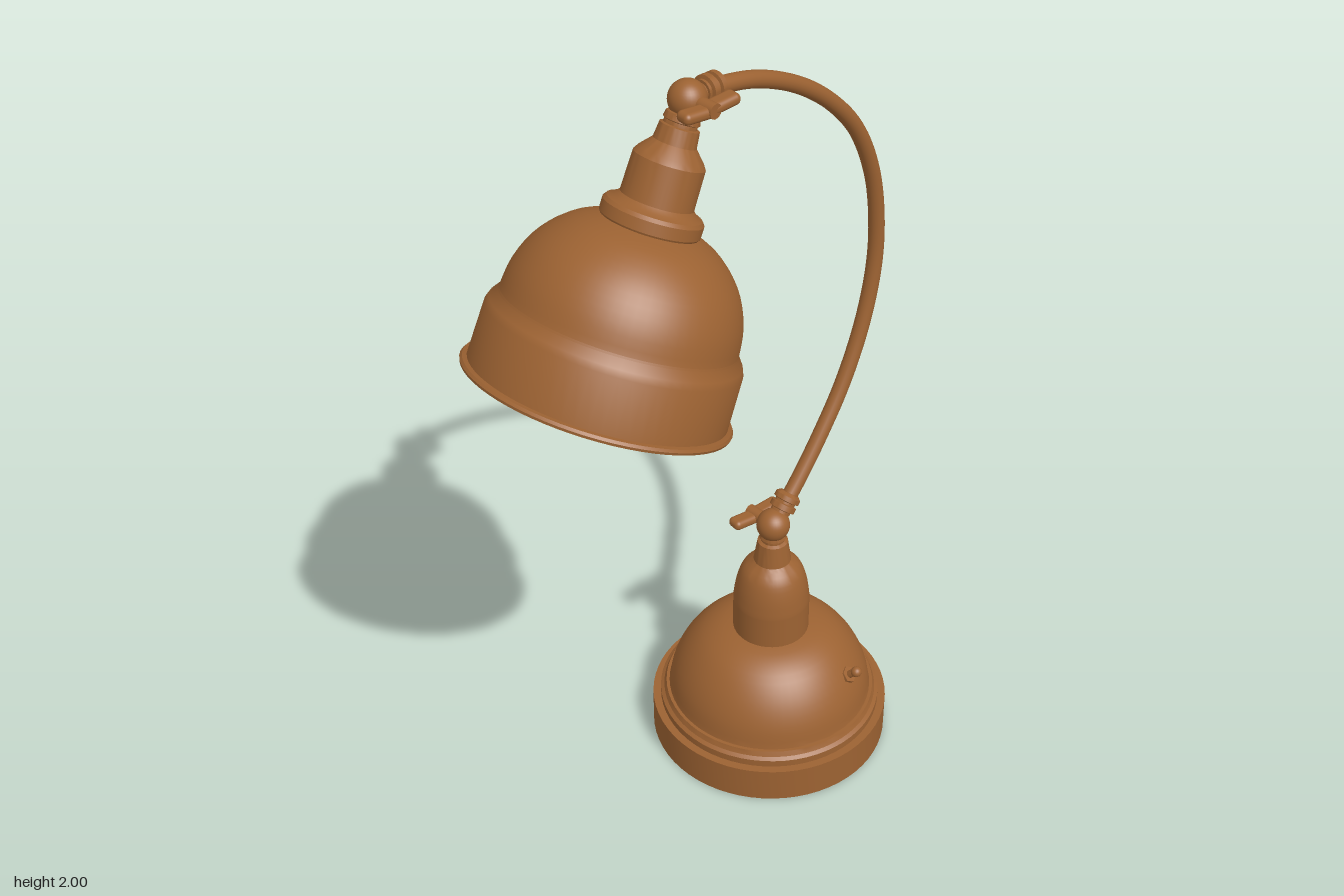
import * as THREE from 'three';
import { toCreasedNormals } from 'three/addons/utils/BufferGeometryUtils.js';
import { RoundedBoxGeometry } from 'three/addons/geometries/RoundedBoxGeometry.js';

const copper = new THREE.MeshStandardMaterial({ color: 0x9c6232 });
const copperShell = new THREE.MeshStandardMaterial({ color: 0x9c6232, side: THREE.DoubleSide });
const black = new THREE.MeshStandardMaterial({ color: 0x0a0a0a });

function add(parent, name, geometry, material = copper) {
  const mesh = new THREE.Mesh(geometry, material);
  mesh.name = name;
  parent.add(mesh);
  return mesh;
}

// Turned part from [radius, height] pairs, listed from bottom to top
function turned(points, segments = 64) {
  const profile = points.map(([r, y]) => new THREE.Vector2(r, y));
  return toCreasedNormals(new THREE.LatheGeometry(profile, segments), 0.5);
}

// Points on a smooth curve through [radius, height] pairs
function smooth(points, count = 14) {
  const curve = new THREE.SplineCurve(points.map(([r, y]) => new THREE.Vector2(r, y)));
  return curve.getPoints(count).map((p) => [p.x, p.y]);
}

// Ball joint with a two-winged clamping nut on one side
function ballJoint(name, x, y, side, yaw) {
  const joint = new THREE.Group();
  joint.name = name;
  joint.position.set(x, y, 0);
  add(joint, 'ball', new THREE.SphereGeometry(0.042, 32, 20));
  const screw = add(joint, 'clampScrew', new THREE.CylinderGeometry(0.017, 0.017, 0.07, 20));
  screw.rotation.x = Math.PI / 2;
  screw.position.z = side * 0.045;
  const nut = new THREE.Group();
  nut.name = 'wingNut';
  nut.position.z = side * 0.06;
  nut.rotation.y = yaw;
  for (const s of [-1, 1]) {
    const wing = add(nut, 'wing', new RoundedBoxGeometry(0.078, 0.026, 0.04, 4, 0.012));
    wing.position.set(s * 0.034, s * 0.002, 0);
    wing.rotation.z = s * 0.08;
  }
  joint.add(nut);
  return joint;
}

// Ringed ferrule pointing along a direction in the xy plane
function ferrule(name, x, y, dx, dy) {
  const mesh = new THREE.Mesh(turned([
    [0, -0.027], [0.025, -0.027], [0.025, -0.02], [0.033, -0.018], [0.033, -0.004], [0.026, -0.002],
    [0.026, 0.004], [0.033, 0.006], [0.033, 0.018], [0.024, 0.026], [0, 0.026],
  ], 32), copper);
  mesh.name = name;
  mesh.position.set(x, y, 0);
  mesh.rotation.z = Math.atan2(-dx, dy);
  return mesh;
}

export function createModel() {
  const lamp = new THREE.Group();
  lamp.name = 'deskLamp';

  // Weighted base, dome and neck
  const base = new THREE.Group();
  base.name = 'base';
  base.position.x = 0.24;
  lamp.add(base);
  add(base, 'baseDome', turned([
    [0, 0], [0.305, 0], [0.305, 0.096], [0.285, 0.096], [0.285, 0.115], [0.276, 0.121], [0.27, 0.134], [0.262, 0.134],
    ...smooth([[0.261, 0.138], [0.25, 0.19], [0.223, 0.246], [0.182, 0.295], [0.135, 0.323], [0.09, 0.334]]),
  ]));
  add(base, 'neck', turned([
    [0.097, 0.325], [0.097, 0.42],
    ...smooth([[0.097, 0.425], [0.09, 0.475], [0.075, 0.52], [0.05, 0.547]], 10),
    [0.047, 0.55], [0.044, 0.57], [0.038, 0.608], [0.03, 0.612], [0.03, 0.62], [0.034, 0.622], [0.03, 0.635], [0, 0.64],
  ], 48));

  // Toggle switch standing off the dome
  const toggle = new THREE.Group();
  toggle.name = 'switch';
  toggle.position.set(0.06, 0.242, 0.212);
  toggle.quaternion.setFromUnitVectors(new THREE.Vector3(0, 1, 0), new THREE.Vector3(0.19, 0.68, 0.71).normalize());
  add(toggle, 'switchNut', new THREE.CylinderGeometry(0.022, 0.022, 0.02, 6));
  add(toggle, 'switchStem', new THREE.CylinderGeometry(0.01, 0.01, 0.04, 16)).position.y = 0.016;
  add(toggle, 'switchTip', new THREE.SphereGeometry(0.014, 16, 12)).position.y = 0.034;
  base.add(toggle);

  // Curved arm between the two joints
  const path = [
    [0.255, 0.672], [0.325, 0.745], [0.405, 0.845], [0.484, 0.965], [0.547, 1.11], [0.58, 1.26], [0.58, 1.39],
    [0.553, 1.53], [0.49, 1.665], [0.395, 1.773], [0.275, 1.862], [0.14, 1.925], [0.02, 1.952], [-0.04, 1.956],
  ];
  const armCurve = new THREE.CatmullRomCurve3(path.map(([x, y]) => new THREE.Vector3(x, y, 0)));
  add(lamp, 'arm', new THREE.TubeGeometry(armCurve, 90, 0.0195, 20));
  lamp.add(ballJoint('lowerJoint', 0.24, 0.657, -1, -0.15));
  lamp.add(ballJoint('upperJoint', -0.055, 1.956, 1, -0.12));
  lamp.add(ferrule('lowerFerrule', 0.282, 0.704, 0.65, 0.76));
  lamp.add(ferrule('upperFerrule', 0.013, 1.954, 1, -0.06));

  // Tilted shade: origin at the rim centre, upper joint at height 0.66
  const head = new THREE.Group();
  head.name = 'head';
  head.position.set(-0.336, 1.36, 0);
  head.rotation.z = -0.445;
  lamp.add(head);
  add(head, 'shade', turned([
    [0.288, 0.004], [0.3, 0], [0.302, 0.006], [0.298, 0.012], [0.288, 0.014], [0.284, 0.135], [0.278, 0.15], [0.263, 0.17],
    ...smooth([[0.262, 0.175], [0.254, 0.23], [0.232, 0.285], [0.198, 0.33], [0.15, 0.368], [0.09, 0.392]]),
  ]), copperShell);
  add(head, 'socketCover', turned([
    [0, 0.375], [0.1, 0.375], [0.11, 0.39], [0.11, 0.416], [0.104, 0.424], [0.09, 0.43], [0.08, 0.44],
    [0.078, 0.528], [0.07, 0.54], [0.047, 0.565], [0.043, 0.6], [0.036, 0.602], [0.036, 0.61],
    [0.04, 0.612], [0.037, 0.626], [0.03, 0.628], [0.03, 0.65], [0, 0.652],
  ], 48));

  // Bulb hanging inside the shade
  add(head, 'bulb', turned([
    ...smooth([[0, 0.005], [0.045, 0.019], [0.073, 0.052], [0.08, 0.085], [0.072, 0.125], [0.05, 0.18], [0.036, 0.23]], 20),
    [0.036, 0.28],
  ], 32), black);
  add(head, 'socket', new THREE.CylinderGeometry(0.05, 0.05, 0.12, 32)).position.y = 0.33;

  return lamp;
}
